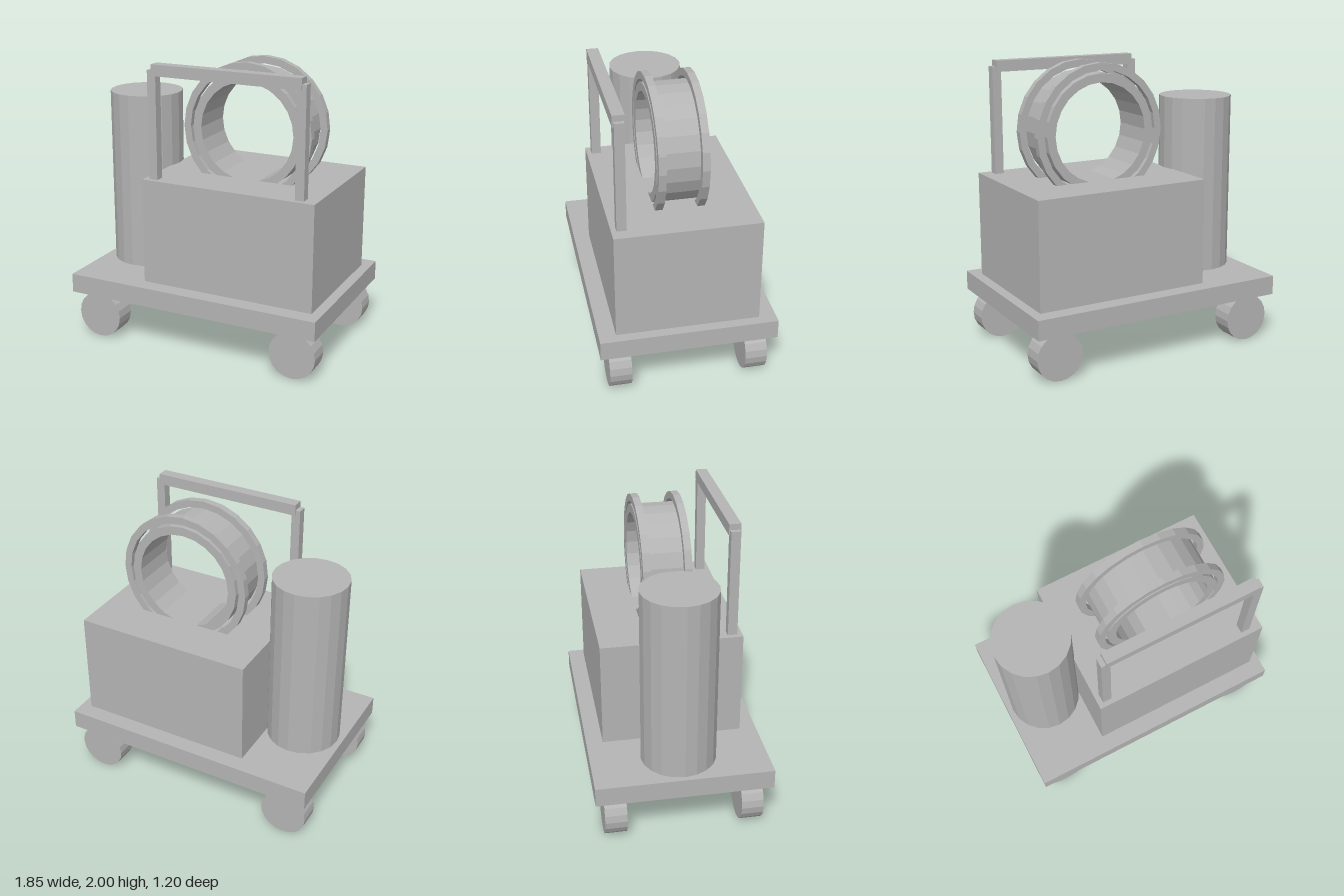
import * as THREE from 'three';

export function createModel() {
  const root = new THREE.Group();
  const grey = new THREE.MeshStandardMaterial({ color: 0xb4b4b4, flatShading: true });
  grey.name = 'plain grey';

  const add = (name, geometry, x, y, z) => {
    const mesh = new THREE.Mesh(geometry, grey);
    mesh.name = name;
    mesh.position.set(x, y, z);
    root.add(mesh);
    return mesh;
  };
  const box = (name, w, h, d, x, y, z) => add(name, new THREE.BoxGeometry(w, h, d), x, y, z);

  // Square-section ring around the z axis, turned as a closed profile
  const ring = (inner, outer, depth) => {
    const h = depth / 2;
    const profile = [[inner, -h], [outer, -h], [outer, h], [inner, h], [inner, -h]]
      .map(([r, y]) => new THREE.Vector2(r, y));
    return new THREE.LatheGeometry(profile, 24).rotateX(Math.PI / 2);
  };

  // Cart deck and main housing
  box('deck', 1.85, 0.135, 1.2, 0, 0.3975, 0);
  box('housing', 1.25, 0.74, 0.97, 0.23, 0.835, 0);

  // Upright tank beside the housing
  add('tank', new THREE.CylinderGeometry(0.257, 0.257, 1.25, 20), -0.632, 1.09, 0);

  // Four wheels
  for (const sx of [-1, 1]) for (const sz of [-1, 1]) {
    const wheel = new THREE.CylinderGeometry(0.165, 0.165, 0.15, 20).rotateX(Math.PI / 2);
    add('wheel', wheel, sx * 0.743, 0.165, sz * 0.464);
  }

  // Hose reel: open drum with a separate rim at each end
  add('reelDrum', ring(0.34, 0.4, 0.33), 0.23, 1.53, 0);
  for (const sz of [-1, 1]) add('reelRim', ring(0.42, 0.47, 0.05), 0.23, 1.53, sz * 0.14);

  // Push handle at the front
  for (const x of [-0.328, 0.738]) box('handlePost', 0.063, 0.75, 0.065, x, 1.575, 0.418);
  box('handleBar', 1.065, 0.077, 0.08, 0.207, 1.952, 0.418);

  return root;
}
